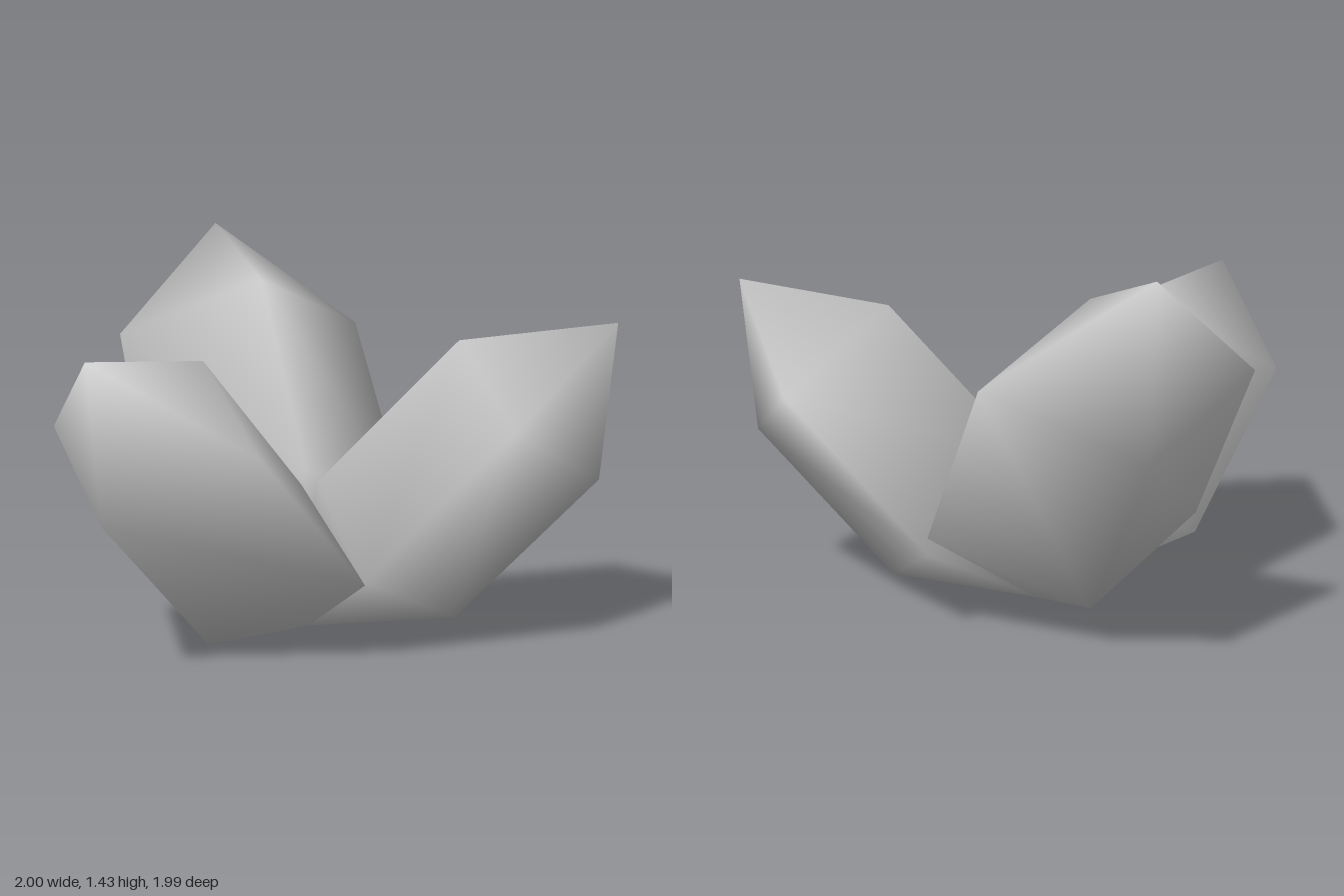
import * as THREE from 'three';

const grey = new THREE.MeshStandardMaterial({ color: 0xcccccc, side: THREE.DoubleSide });
grey.name = 'pale grey';

// One faceted petal, a stretched low-poly sphere growing up +y from its root
function petalGeometry(length) {
  const geo = new THREE.SphereGeometry(1, 4, 3);
  geo.scale(0.42, length / 2, 0.59); // thickness, length, width
  const p = geo.attributes.position;
  for (let i = 0; i < p.count; i++) {
    let t = p.getY(i) / length + 0.5;
    // Pull the upper ring down and narrow it, widen the lower ring
    if (t > 0.6 && t < 0.9) {
      t = 0.722;
      p.setZ(i, p.getZ(i) * 0.98);
    } else if (t > 0.1 && t < 0.4) {
      t = 0.26;
      p.setZ(i, p.getZ(i) * 1.02);
    }
    p.setY(i, t * length);
  }
  return geo;
}

export function createModel() {
  const model = new THREE.Group();
  model.name = 'threePetals';
  // Each petal leans outward from the shared root: heading, reach and tip height
  const petals = [
    ['leftPetal', 0, 1.15, 1.19],
    ['backPetal', 120, 1.155, 1.435],
    ['frontPetal', -120, 1.145, 1.15],
  ];
  for (const [name, heading, reach, height] of petals) {
    const geo = petalGeometry(Math.hypot(reach, height));
    geo.rotateZ(-Math.atan2(reach, height));
    geo.rotateY(THREE.MathUtils.degToRad(heading));
    geo.translate(-0.15, 0, 0);
    const mesh = new THREE.Mesh(geo, grey);
    mesh.name = name;
    model.add(mesh);
  }
  return model;
}
